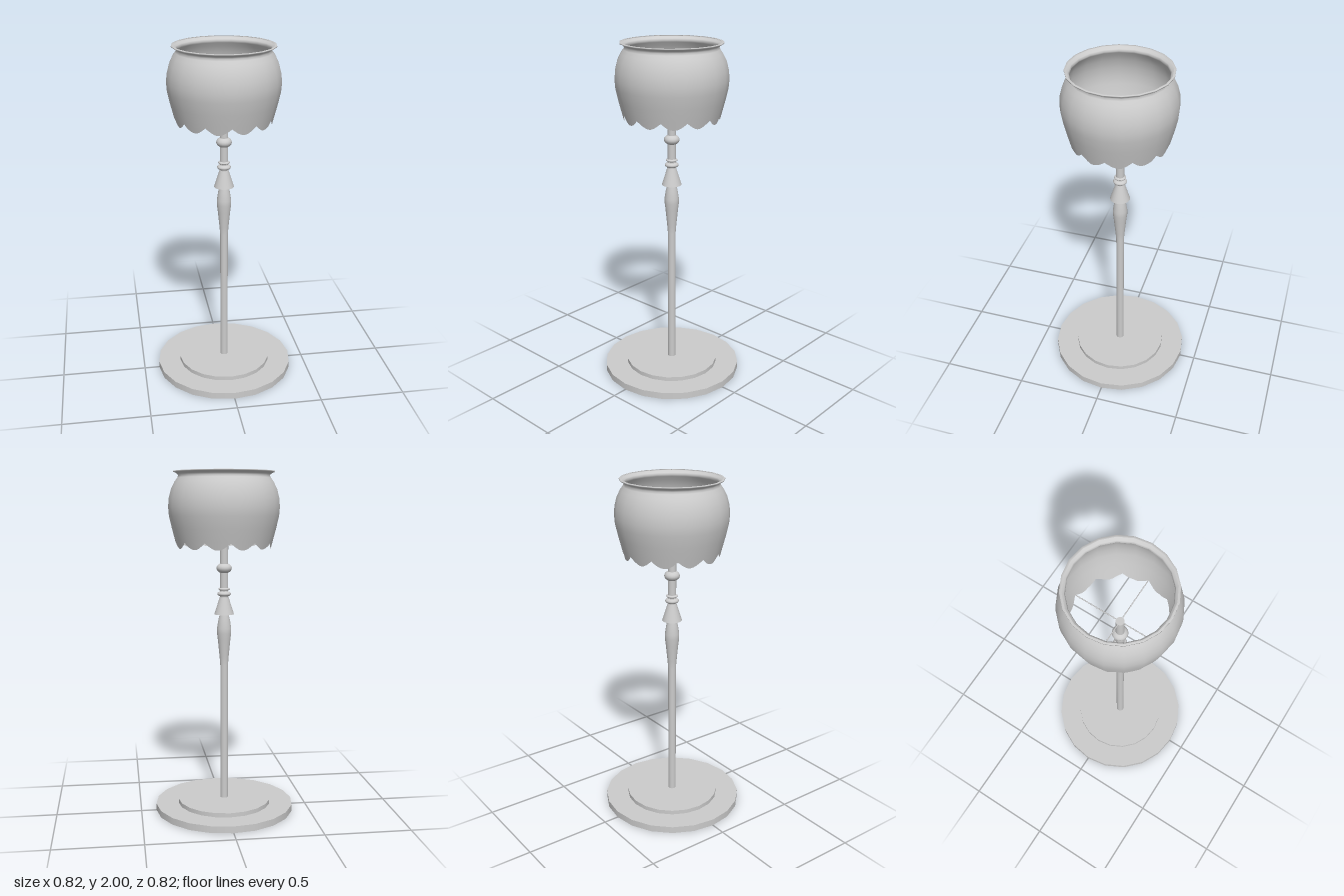
import * as THREE from 'three';

const SIDES = 20;
const PETALS = 12;

export function createModel() {
  const lamp = new THREE.Group();
  lamp.name = 'floorLamp';
  const grey = new THREE.MeshStandardMaterial({ color: 0xcccccc });
  const thin = new THREE.MeshStandardMaterial({ color: 0xcccccc, side: THREE.DoubleSide });

  const add = (name, geometry, y = 0, material = grey) => {
    const mesh = new THREE.Mesh(geometry, material);
    mesh.name = name;
    mesh.position.y = y;
    lamp.add(mesh);
    return mesh;
  };
  const lathe = (points, segments) =>
    new THREE.LatheGeometry(points.map(([r, y]) => new THREE.Vector2(r, y)), segments);

  // Stepped round foot
  add('basePlate', new THREE.CylinderGeometry(0.41, 0.41, 0.04, SIDES), 0.02);
  add('baseStep', new THREE.CylinderGeometry(0.276, 0.276, 0.027, SIDES), 0.0515);

  // Turned stem with a swelling near the top
  add('stem', lathe([
    [0.023, 0.06], [0.023, 0.88], [0.027, 0.93], [0.037, 1.03], [0.042, 1.07],
    [0.042, 1.1], [0.034, 1.15], [0.025, 1.185],
  ], SIDES));

  // Flared collar, rings, knob and upper rod
  add('collar', new THREE.CylinderGeometry(0.026, 0.058, 0.1, SIDES), 1.232);
  const ring = (name, radius, height, y) => {
    const mesh = add(name, new THREE.SphereGeometry(radius, SIDES, 10), y);
    mesh.scale.y = height / (2 * radius);
  };
  ring('lowerRing', 0.04, 0.036, 1.301);
  ring('upperRing', 0.034, 0.022, 1.329);
  add('upperRod', new THREE.CylinderGeometry(0.024, 0.024, 0.34, SIDES), 1.44);
  ring('knob', 0.045, 0.062, 1.45);

  // Four thin wires that carry the shade
  for (let i = 0; i < 2; i++) {
    const wire = add('shadeWire', new THREE.CylinderGeometry(0.003, 0.003, 0.56, 6), 1.607);
    wire.rotation.set(i ? Math.PI / 2 : 0, 0, i ? 0 : Math.PI / 2);
  }

  // Bulging shade: flattened to the foot's facets, with a scalloped hem
  const hem = 1.565, scallop = 0.038;
  const shade = lathe([
    [0.27, hem], [0.283, 1.615], [0.3, 1.68], [0.316, 1.75], [0.32, 1.8],
    [0.316, 1.85], [0.303, 1.9], [0.283, 1.94], [0.267, 1.962], [0.262, 1.973],
    [0.267, 1.983], [0.28, 1.99], [0.289, 1.994], [0.289, 2.0], [0.278, 2.0],
  ], 240);
  const pos = shade.attributes.position;
  const facet = (2 * Math.PI) / SIDES;
  for (let i = 0; i < pos.count; i++) {
    const x = pos.getX(i), z = pos.getZ(i), y = pos.getY(i);
    const angle = Math.atan2(x, z) + 2 * Math.PI;
    const chord = Math.cos(facet / 2) / Math.cos((angle % facet) - facet / 2);
    let lift = 0, widen = 1;
    if (y < hem + 0.001) {
      lift = scallop * (1 - Math.abs(Math.sin(angle * PETALS / 2)));
      widen = 1 + 0.045 * lift / scallop * 0.8;
    }
    pos.setXYZ(i, x * chord * widen, y + lift, z * chord * widen);
  }
  add('shade', shade, 0, thin);

  return lamp;
}
